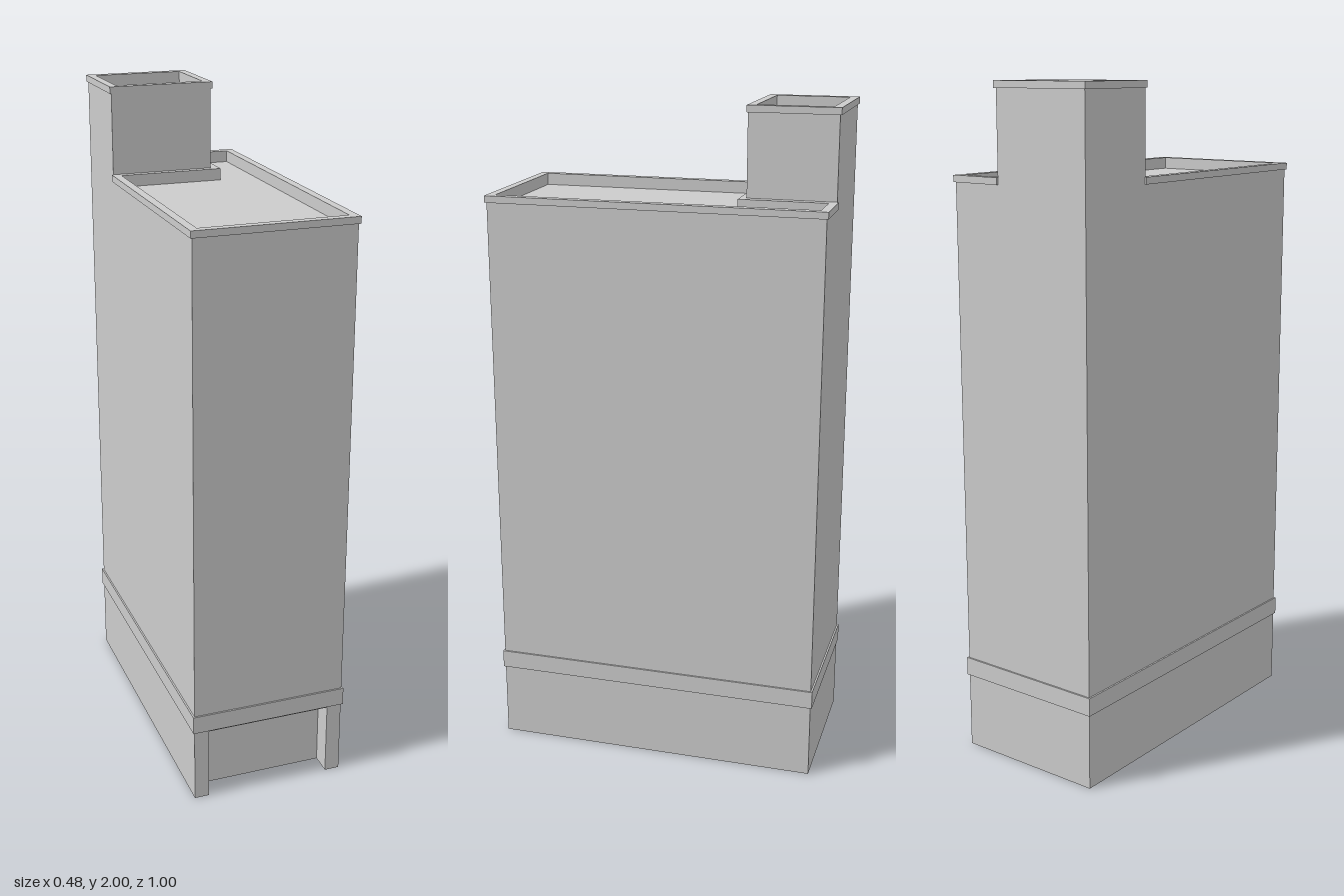
import * as THREE from 'three';

const material = new THREE.MeshStandardMaterial({ color: 0xcccccc, flatShading: true });

export function createModel() {
  const model = new THREE.Group();

  function add(name, geometry) {
    const mesh = new THREE.Mesh(geometry, material);
    mesh.name = name;
    model.add(mesh);
  }

  // Box given by its limits on each axis
  function block(name, x0, x1, y0, y1, z0, z1) {
    const g = new THREE.BoxGeometry(x1 - x0, y1 - y0, z1 - z0);
    add(name, g.translate((x0 + x1) / 2, (y0 + y1) / 2, (z0 + z1) / 2));
  }

  // Upright ring between two plan outlines of [x, z] points
  function ring(name, outer, inner, y0, y1) {
    const plan = (pts) => pts.map(([x, z]) => new THREE.Vector2(x, -z));
    const shape = new THREE.Shape(plan(outer));
    shape.holes.push(new THREE.Path(plan(inner)));
    const g = new THREE.ExtrudeGeometry(shape, { depth: y1 - y0, bevelEnabled: false });
    add(name, g.rotateX(-Math.PI / 2).translate(0, y0, 0));
  }

  const rect = (x0, x1, z0, z1) => [[x0, z1], [x1, z1], [x1, z0], [x0, z0]];
  // Roof outline with the back corner cut away for the tower
  const roof = (x, z, cutX, cutZ) =>
    [[-x, z], [x, z], [x, -z], [cutX, -z], [cutX, cutZ], [-x, cutZ]];

  // Ground floor: hollow, open below, with a recessed entrance
  for (const s of [-1, 1]) {
    const a = s * 0.19, b = s * 0.235;
    block(s < 0 ? 'rightBaseWall' : 'leftBaseWall',
      Math.min(a, b), Math.max(a, b), 0, 0.225, -0.495, 0.495);
  }
  block('backBaseWall', -0.19, 0.19, 0, 0.225, -0.495, -0.49);
  block('entrancePanel', -0.19, 0.19, 0, 0.225, 0.42, 0.43);

  // Main body and the band above the ground floor
  block('mainBody', -0.235, 0.235, 0.225, 1.705, -0.495, 0.495);
  block('baseBand', -0.24, 0.24, 0.23, 0.285, -0.5, 0.5);

  // Parapet around the main roof
  const roofInner = roof(0.215, 0.475, 0.1, -0.215);
  ring('roofParapet', roof(0.235, 0.495, 0.075, -0.235), roofInner, 1.705, 1.72);
  ring('roofTrim', roof(0.24, 0.5, 0.075, -0.235), roofInner, 1.72, 1.74);

  // Corner tower with its own parapet
  block('tower', -0.235, 0.075, 1.705, 1.965, -0.495, -0.235);
  const towerInner = rect(-0.215, 0.055, -0.475, -0.257);
  ring('towerParapet', rect(-0.235, 0.075, -0.495, -0.235), towerInner, 1.965, 1.98);
  ring('towerTrim', rect(-0.24, 0.08, -0.5, -0.232), towerInner, 1.98, 2);

  return model;
}
